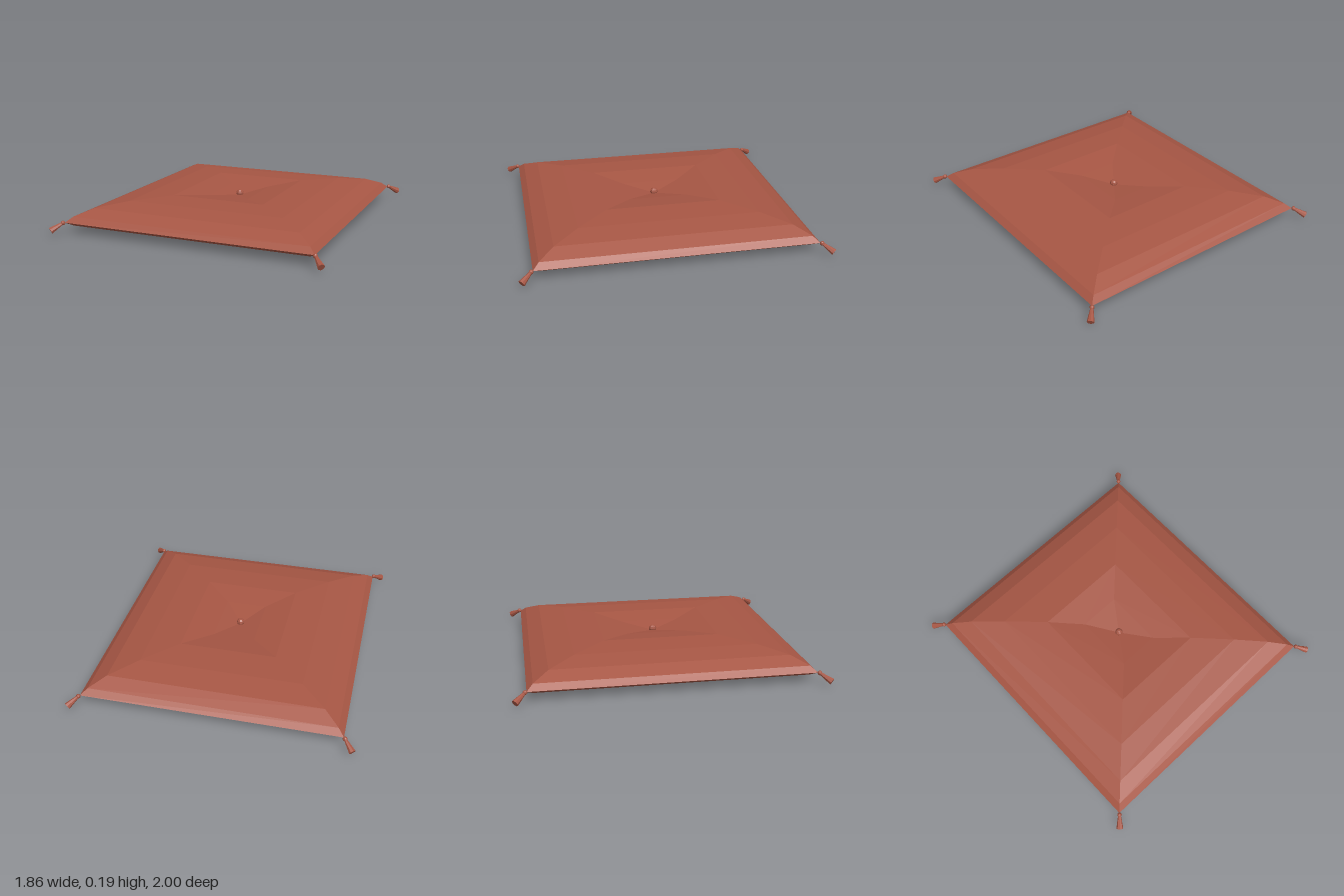
import * as THREE from 'three';

const HALF_X = 0.85, HALF_Z = 0.91, SEAM_Y = 0.075;

// Cushion skin: rectangular rings [inset from the edge, height], bottom to top.
// An inset of null collapses the ring to the centre point.
function cushionGeometry(rings) {
  const corners = [[1, 1], [1, -1], [-1, -1], [-1, 1]];
  const point = ([inset, y], j) => {
    const [sx, sz] = corners[j % 4];
    return inset === null ? [0, y, 0] : [sx * (HALF_X - inset), y, sz * (HALF_Z - inset)];
  };
  const positions = [];
  for (let i = 0; i < rings.length - 1; i++) {
    const low = rings[i], high = rings[i + 1];
    for (let j = 0; j < 4; j++) {
      const a = point(low, j), b = point(low, j + 1);
      const c = point(high, j + 1), d = point(high, j);
      if (low[0] !== null) positions.push(...a, ...b, ...c);
      if (high[0] !== null) positions.push(...a, ...c, ...d);
    }
  }
  const geometry = new THREE.BufferGeometry();
  geometry.setAttribute('position', new THREE.Float32BufferAttribute(positions, 3));
  geometry.computeVertexNormals();
  return geometry;
}

export function createModel() {
  const model = new THREE.Group();
  model.name = 'cushion';

  const fabric = new THREE.MeshStandardMaterial({ color: 0xa65644 });
  fabric.name = 'terracotta fabric';
  fabric.flatShading = true;

  const add = (parent, name, geometry) => {
    const mesh = new THREE.Mesh(geometry, fabric);
    mesh.name = name;
    parent.add(mesh);
    return mesh;
  };

  // Flat underside, pinched seam, puffed top with a dimple in the middle
  add(model, 'cushionBody', cushionGeometry([
    [null, 0], [0.525, 0], [0.31, 0.004], [0.14, 0.023], [0.04, 0.05],
    [0, SEAM_Y],
    [0.04, 0.11], [0.14, 0.154], [0.31, 0.18], [0.525, 0.19], [0.71, 0.166], [null, 0.138],
  ]));

  // Button sunk in the dimple
  add(model, 'button', new THREE.SphereGeometry(0.027, 8, 6)).position.set(0, 0.15, 0);

  // Drooping tassel at each corner: a knot and a flared skirt
  const up = new THREE.Vector3(0, 1, 0);
  for (const sx of [1, -1]) {
    for (const sz of [1, -1]) {
      const tassel = new THREE.Group();
      tassel.name = `${sz > 0 ? 'front' : 'back'}${sx > 0 ? 'Left' : 'Right'}Tassel`;
      const start = new THREE.Vector3(sx * 0.857, SEAM_Y, sz * 0.919);
      const end = new THREE.Vector3(sx * 0.912, 0.033, sz * 0.981);
      const axis = end.clone().sub(start);

      add(tassel, 'knot', new THREE.SphereGeometry(0.015, 8, 6)).position.copy(start);
      const skirt = add(tassel, 'skirt', new THREE.CylinderGeometry(0.023, 0.009, axis.length(), 8));
      skirt.position.copy(start).lerp(end, 0.5);
      skirt.quaternion.setFromUnitVectors(up, axis.normalize());
      model.add(tassel);
    }
  }
  return model;
}
